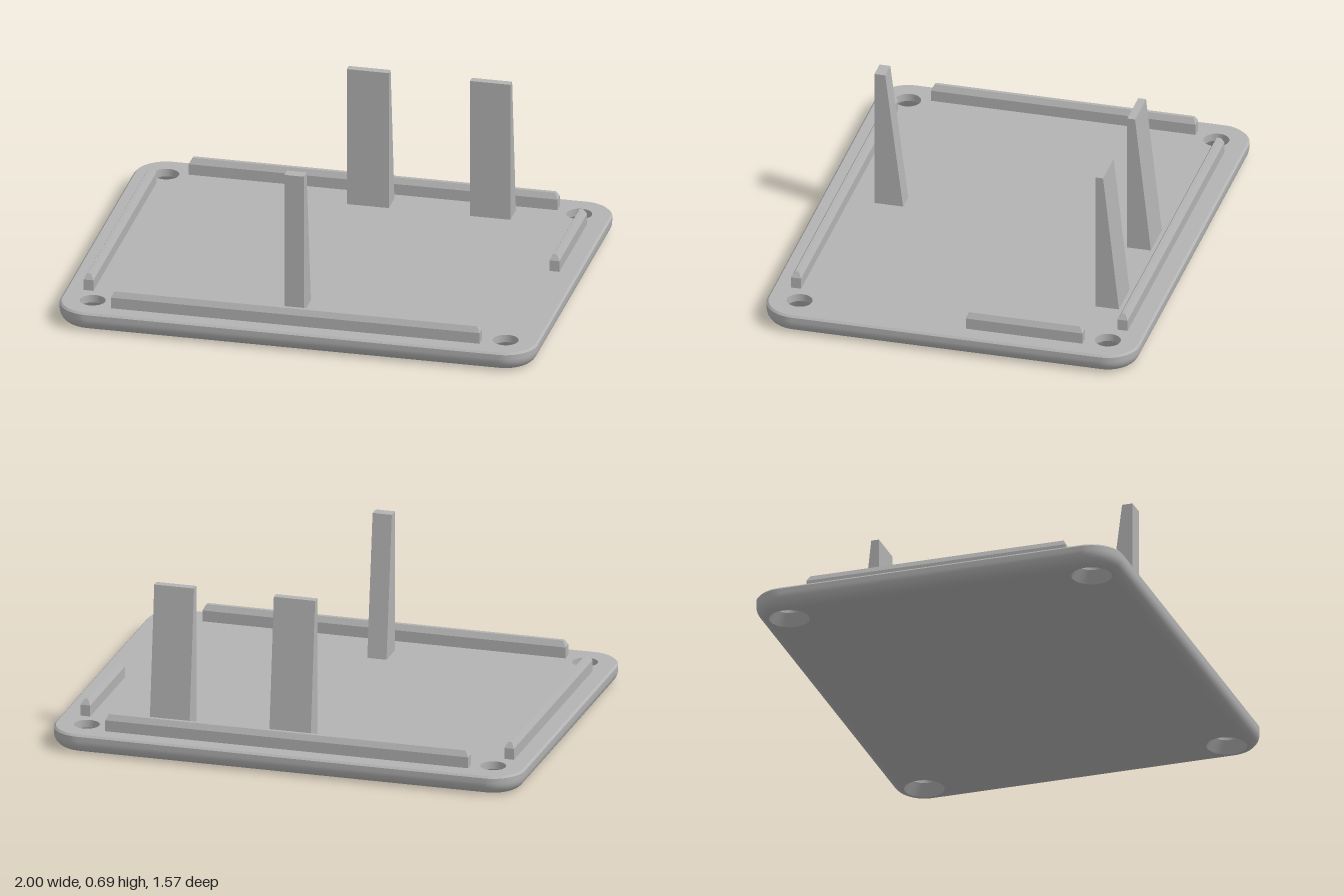
import * as THREE from 'three';
import { ConvexGeometry } from 'three/addons/geometries/ConvexGeometry.js';

const CX = 0.865, CZ = 0.65;   // corner centres, shared with the screw holes
const R = 0.135;               // outer corner radius
const TOP = 0.083;             // plate thickness
const HOLE_TOP = 0.053, HOLE_BOTTOM = 0.083;
const CORNERS = [[CX, CZ], [-CX, CZ], [-CX, -CZ], [CX, -CZ]];

// Closed outline around the corner centres at the given radius
function outline(r, n = 12) {
  const pts = [];
  CORNERS.forEach(([x, z], k) => {
    for (let i = 0; i <= n; i++) {
      const a = (k + i / n) * Math.PI / 2;
      pts.push(new THREE.Vector2(x + r * Math.cos(a), z + r * Math.sin(a)));
    }
  });
  return pts;
}

function circle(x, z, r, n = 40) {
  return Array.from({ length: n }, (_, i) => {
    const a = i / n * Math.PI * 2;
    return new THREE.Vector2(x + r * Math.cos(a), z + r * Math.sin(a));
  });
}

// Wall joining loops of equal length; faces outward when the loops rise
function wall(levels) {
  const pos = [], idx = [], n = levels[0].loop.length;
  levels.forEach(({ loop, y }) => loop.forEach(p => pos.push(p.x, y, p.y)));
  for (let j = 0; j < levels.length - 1; j++) {
    for (let i = 0; i < n; i++) {
      const a = j * n + i, b = j * n + (i + 1) % n;
      idx.push(a, a + n, b, b, a + n, b + n);
    }
  }
  const g = new THREE.BufferGeometry();
  g.setAttribute('position', new THREE.Float32BufferAttribute(pos, 3));
  g.setIndex(idx);
  g.computeVertexNormals();
  return g;
}

// Flat plate face with four holes
function cap(r, holeR, y, up) {
  const shape = new THREE.Shape(outline(r));
  CORNERS.forEach(([x, z]) => shape.holes.push(new THREE.Path(circle(x, z, holeR))));
  return new THREE.ShapeGeometry(shape).rotateX(up ? -Math.PI / 2 : Math.PI / 2).translate(0, y, 0);
}

// Solid through stacked rectangles [x0, x1, z0, z1, y]
function stack(...rects) {
  const pts = [];
  for (const [x0, x1, z0, z1, y] of rects)
    for (const x of [x0, x1]) for (const z of [z0, z1]) pts.push(new THREE.Vector3(x, y, z));
  return new ConvexGeometry(pts);
}

export function createModel() {
  const model = new THREE.Group();
  model.name = 'coverPlate';
  const grey = new THREE.MeshStandardMaterial({ color: 0xb3b3b3 });
  grey.name = 'grey plastic';
  const add = (name, geometry, parent = model) => {
    const mesh = new THREE.Mesh(geometry, grey);
    mesh.name = name;
    parent.add(mesh);
  };

  // Plate with a rounded lower edge and a fine chamfer on top
  const plate = new THREE.Group();
  plate.name = 'plate';
  model.add(plate);
  const inset = 0.05, rise = 0.055, edge = [];
  for (let i = 0; i <= 8; i++) {
    const a = i / 8 * Math.PI / 2;
    edge.push({ loop: outline(R - inset * (1 - Math.sin(a))), y: rise * (1 - Math.cos(a)) });
  }
  edge.push({ loop: outline(R), y: 0.075 });
  add('roundedEdge', wall(edge), plate);
  add('topChamfer', wall([{ loop: outline(R), y: 0.075 }, { loop: outline(R - 0.008), y: TOP }]), plate);
  add('topFace', cap(R - 0.008, HOLE_TOP, TOP, true), plate);
  add('bottomFace', cap(R - inset, HOLE_BOTTOM, 0, false), plate);

  // Countersunk screw holes, walls facing inward
  for (const [x, z] of CORNERS) {
    const top = circle(x, z, HOLE_TOP), bottom = circle(x, z, HOLE_BOTTOM);
    add('screwHole', wall([{ loop: top, y: TOP }, { loop: top, y: 0.05 }]), plate);
    add('countersink', wall([{ loop: top, y: 0.05 }, { loop: bottom, y: 0 }]), plate);
  }

  // Locating rails with chamfered tops
  const rails = {
    backRail: [-0.775, 0.77, -0.708, -0.666],
    frontRail: [-0.775, 0.77, 0.669, 0.711],
    rightRail: [-0.925, -0.884, -0.557, 0.558],
    leftRail: [0.879, 0.92, -0.557, -0.066],
  };
  for (const [name, [x0, x1, z0, z1]] of Object.entries(rails)) {
    const c = 0.013;
    add(name, stack([x0, x1, z0, z1, 0.08], [x0, x1, z0, z1, 0.13],
      [x0 + c, x1 - c, z0 + c, z1 - c, 0.154]));
  }

  // Tapered posts: upright front face, sloping back face
  const post = (name, x0, x1, front, topBack, baseBack) =>
    add(name, stack([x0, x1, baseBack, front, 0.08], [x0, x1, topBack, front, 0.685]));
  post('backPostCentre', -0.08, 0.096, -0.528, -0.561, -0.628);
  post('backPostLeft', 0.436, 0.605, -0.528, -0.561, -0.628);
  post('frontPost', -0.082, 0, 0.563, 0.518, 0.442);

  return model;
}
